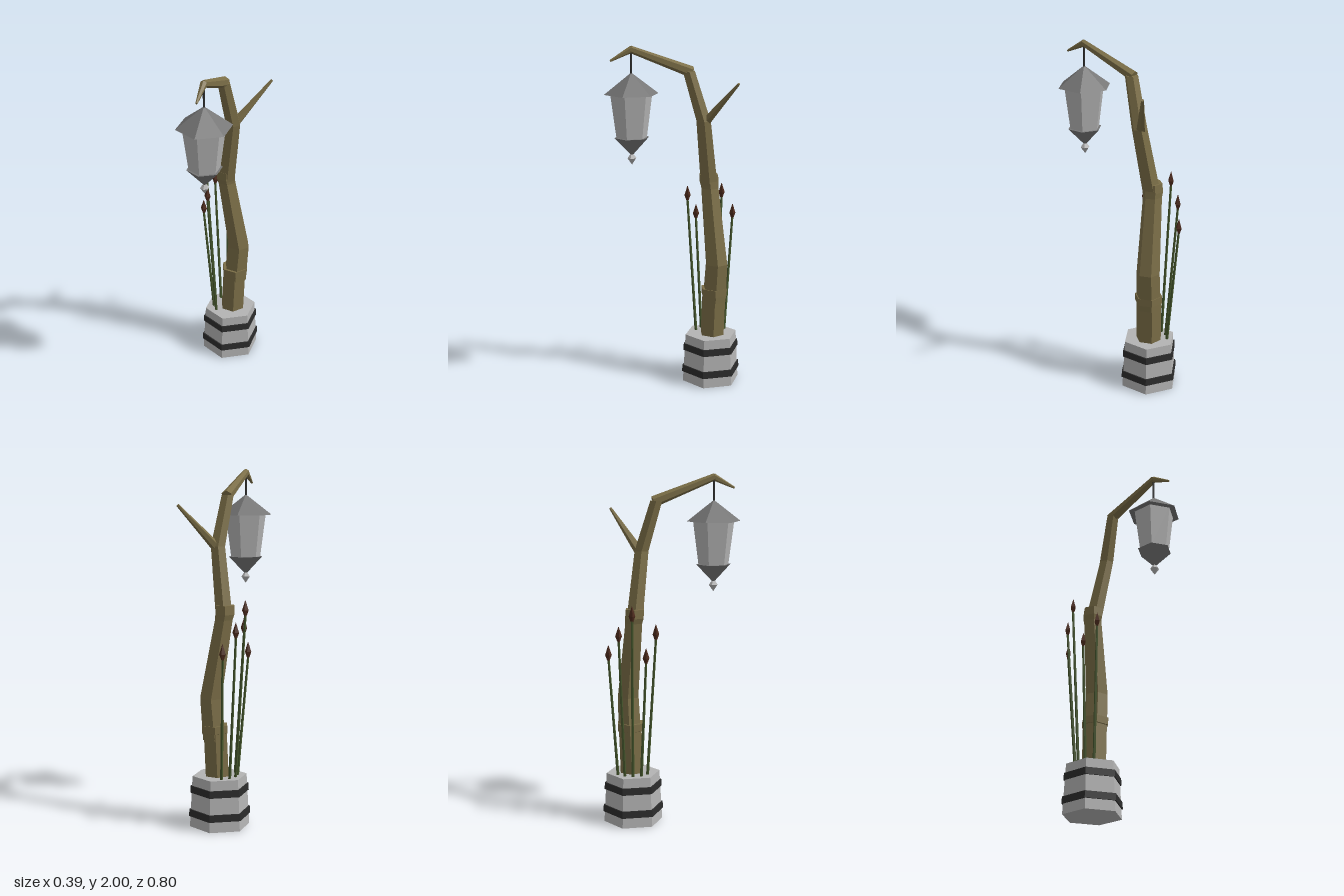
import * as THREE from 'three';

const mat = (name, color) => Object.assign(new THREE.MeshStandardMaterial({ color, flatShading: true }), { name });

export function createModel() {
  const model = new THREE.Group();
  const wood = mat('wood', 0x7b6e47);
  const stone = mat('pale stone', 0xb4b4b4);
  const iron = mat('dark iron', 0x2c2c2c);
  const roofMetal = mat('roof metal', 0x777777);
  const green = mat('reed green', 0x45562c);
  const brown = mat('reed brown', 0x4c2a1c);

  function add(name, geometry, material, parent = model) {
    const flat = geometry.index ? geometry.toNonIndexed() : geometry;
    flat.computeVertexNormals();
    const mesh = new THREE.Mesh(flat, material);
    mesh.name = name;
    parent.add(mesh);
    return mesh;
  }

  // Upright six-sided frustum from y0 to y1, corners toward +z and -z
  function frustum(name, x, z, y0, y1, r0, r1, material, parent) {
    const mesh = add(name, new THREE.CylinderGeometry(r1, r0, y1 - y0, 6), material, parent);
    mesh.position.set(x, (y0 + y1) / 2, z);
    return mesh;
  }

  // Tapered stick between two points
  function stick(name, a, b, r0, r1, sides, material, parent) {
    const from = new THREE.Vector3(...a), to = new THREE.Vector3(...b);
    const dir = to.clone().sub(from);
    const mesh = add(name, new THREE.CylinderGeometry(r1, r0, dir.length(), sides), material, parent);
    mesh.position.copy(from).add(to).multiplyScalar(0.5);
    mesh.quaternion.setFromUnitVectors(new THREE.Vector3(0, 1, 0), dir.normalize());
    return mesh;
  }

  // Crooked trunk lofted through six-sided rings [x, y, z, radius]
  function loft(name, rings, turn, material) {
    const n = 6, pos = [], idx = [];
    for (const [x, y, z, r] of rings) {
      for (let i = 0; i < n; i++) {
        const a = turn + (i / n) * Math.PI * 2;
        pos.push(x + r * Math.sin(a), y, z + r * Math.cos(a));
      }
    }
    for (let k = 0; k < rings.length - 1; k++) {
      for (let i = 0; i < n; i++) {
        const a = k * n + i, b = k * n + (i + 1) % n;
        idx.push(a, b, b + n, a, b + n, a + n);
      }
    }
    const last = (rings.length - 1) * n;
    for (let i = 1; i < n - 1; i++) {
      idx.push(0, i + 1, i, last, last + i, last + i + 1);
    }
    const g = new THREE.BufferGeometry();
    g.setAttribute('position', new THREE.Float32BufferAttribute(pos, 3));
    g.setIndex(idx);
    return add(name, g, material);
  }

  // Plinth with two iron bands
  const cx = -0.022, pz = -0.224;
  const plinth = new THREE.Group();
  plinth.name = 'plinth';
  model.add(plinth);
  frustum('plinthBody', cx, pz, 0, 0.29, 0.171, 0.155, stone, plinth);
  frustum('lowerBand', cx, pz, 0.06, 0.1, 0.176, 0.174, iron, plinth);
  frustum('upperBand', cx, pz, 0.195, 0.235, 0.168, 0.166, iron, plinth);

  // Trunk in three overlapping lengths, leaving a step at each joint
  const turn = 0.35;
  loft('lowerTrunk', [
    [-0.01, 0.26, -0.228, 0.074], [0.0, 0.535, -0.235, 0.074],
    [0.003, 0.537, -0.235, 0.081], [0.004, 0.58, -0.235, 0.081],
  ], turn, wood);
  loft('middleTrunk', [
    [0.005, 0.5, -0.236, 0.073], [0.023, 0.73, -0.243, 0.068],
    [-0.045, 1.17, -0.218, 0.055], [-0.05, 1.2, -0.215, 0.06], [-0.05, 1.25, -0.212, 0.059],
  ], turn, wood);
  loft('upperTrunk', [
    [-0.046, 1.18, -0.214, 0.053], [0.008, 1.57, -0.163, 0.045], [-0.022, 1.85, -0.084, 0.038],
  ], turn, wood);

  // Branches
  stick('hangingBranch', [cx, 1.845, -0.1], [cx, 1.98, 0.25], 0.032, 0.02, 6, wood);
  stick('branchTip', [cx, 1.98, 0.24], [cx, 1.918, 0.362], 0.02, 0.006, 6, wood);
  stick('sideBranch', [0.008, 1.56, -0.172], [0.188, 1.798, -0.312], 0.028, 0.008, 6, wood);

  // Lantern
  const lz = 0.245;
  const lantern = new THREE.Group();
  lantern.name = 'lantern';
  model.add(lantern);
  stick('hanger', [cx, 1.83, lz], [cx, 1.975, lz], 0.006, 0.006, 6, iron, lantern);
  frustum('lanternRoof', cx, lz, 1.733, 1.847, 0.155, 0.006, roofMetal, lantern);
  frustum('lanternPanes', cx, lz, 1.48, 1.74, 0.086, 0.12, stone, lantern);
  frustum('lanternBottom', cx, lz, 1.393, 1.49, 0.008, 0.1, roofMetal, lantern);
  frustum('finialTop', cx, lz, 1.372, 1.4, 0.026, 0.006, stone, lantern);
  frustum('finialPoint', cx, lz, 1.336, 1.372, 0.001, 0.026, stone, lantern);

  // Reeds: [foot x, foot z, head x, head z, tip height]
  const reeds = [
    [-0.065, -0.318, -0.09, -0.37, 1.055],
    [-0.1, -0.284, -0.149, -0.32, 1.17],
    [-0.12, -0.241, -0.18, -0.249, 1.285],
    [-0.115, -0.192, -0.171, -0.17, 1.045],
    [-0.088, -0.152, -0.126, -0.106, 1.17],
  ];
  for (const [fx, fz, hx, hz, tip] of reeds) {
    const reed = new THREE.Group();
    reed.name = 'reed';
    model.add(reed);
    stick('reedStem', [fx, 0.27, fz], [hx, tip - 0.08, hz], 0.009, 0.007, 5, green, reed);
    const head = add('reedHead', new THREE.LatheGeometry(
      [[0.002, -0.1], [0.019, -0.055], [0.001, 0]].map(([r, y]) => new THREE.Vector2(r, y)), 4), brown, reed);
    head.position.set(hx, tip, hz);
  }
  return model;
}
